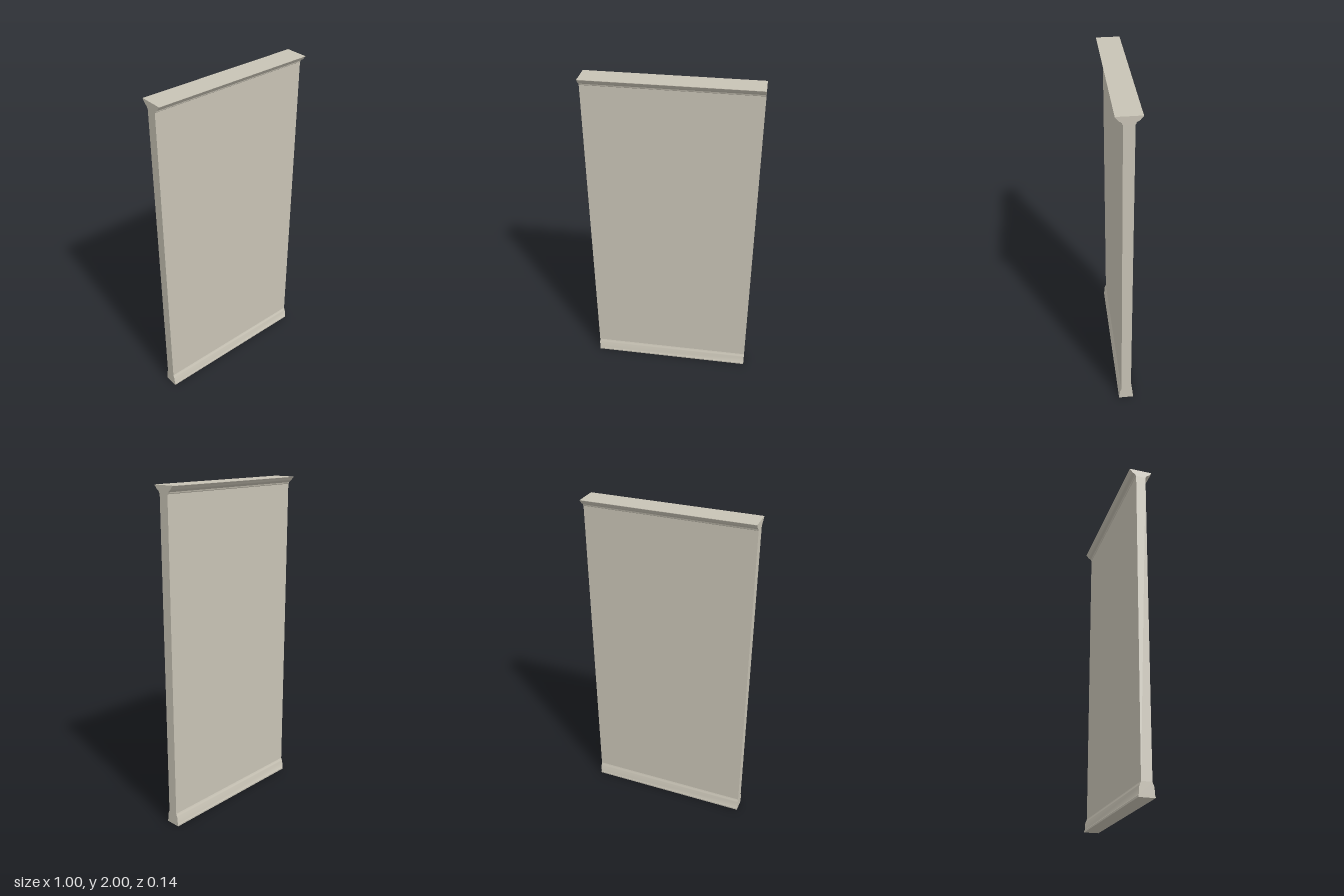
import * as THREE from 'three';
import { toCreasedNormals } from 'three/addons/utils/BufferGeometryUtils.js';

const WIDTH = 1;
const WALL = 0.03; // half thickness of the panel

// Extrudes a front-half profile of [z, y] points, mirrored to the back, across the width
function molding(name, half, material) {
  const back = half.map(([z, y]) => [-z, y]).reverse();
  const shape = new THREE.Shape([...half, ...back].map(([z, y]) => new THREE.Vector2(z, y)));
  const extruded = new THREE.ExtrudeGeometry(shape, { depth: WIDTH, bevelEnabled: false });
  extruded.rotateY(Math.PI / 2).translate(-WIDTH / 2, 0, 0);
  const mesh = new THREE.Mesh(toCreasedNormals(extruded, 0.5), material);
  mesh.name = name;
  return mesh;
}

export function createModel() {
  const group = new THREE.Group();
  group.name = 'wallPanel';
  const plaster = new THREE.MeshStandardMaterial({ color: 0xc8c3b5 });
  plaster.name = 'warm plaster';

  // Skirting: small foot, flat board, curved top easing into the wall
  const skirting = [
    [0.045, 0], [0.045, 0.01], [0.042, 0.015], [0.04, 0.052],
    [0.038, 0.06], [0.034, 0.068], [0.0315, 0.075], [WALL, 0.08],
  ];
  // Cornice: small lip, cove, then a flare to the flat top
  const cornice = [
    [WALL, 1.955], [0.033, 1.958], [0.035, 1.965], [0.04, 1.97],
    [0.048, 1.974], [0.054, 1.979], [0.058, 1.985], [0.069, 1.998], [0.069, 2],
  ];
  const panel = [[WALL, 0.08], [WALL, 1.955]];

  group.add(
    molding('skirting', skirting, plaster),
    molding('panel', panel, plaster),
    molding('cornice', cornice, plaster),
  );
  return group;
}
